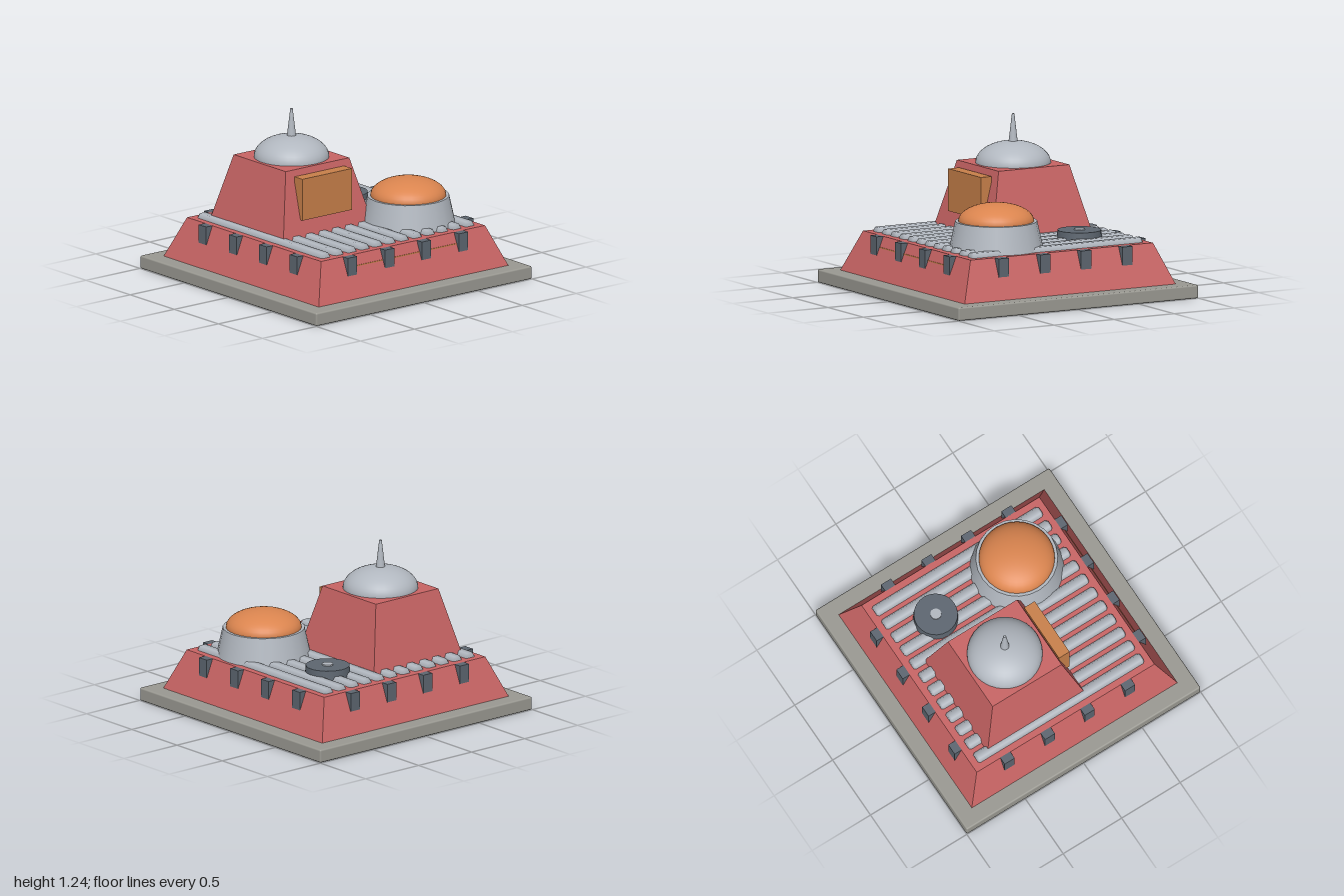
import * as THREE from 'three';
import { RoundedBoxGeometry } from 'three/addons/geometries/RoundedBoxGeometry.js';

const mat = (name, color) => {
  const m = new THREE.MeshStandardMaterial({ color });
  m.name = name;
  return m;
};

export function createModel() {
  const stone = mat('stone grey', 0x9a9992);
  const red = mat('brick red', 0xc86464);
  const metal = mat('pale metal', 0xb2b8c0);
  const slate = mat('dark slate', 0x5d6670);
  const orange = mat('orange', 0xdb854f);
  const ochre = mat('ochre panel', 0xc8804a);

  const model = new THREE.Group();
  model.name = 'domedBuilding';
  const add = (name, geometry, material, x, y, z, parent = model) => {
    const mesh = new THREE.Mesh(geometry, material);
    mesh.name = name;
    mesh.position.set(x, y, z);
    parent.add(mesh);
    return mesh;
  };

  // Box whose top corners are pulled inward
  const taperedBlock = (bottomHalf, topHalf, height) => {
    const g = new THREE.BoxGeometry(2 * bottomHalf, height, 2 * bottomHalf);
    const p = g.attributes.position;
    for (let i = 0; i < p.count; i++) {
      if (p.getY(i) > 0) {
        p.setX(i, Math.sign(p.getX(i)) * topHalf);
        p.setZ(i, Math.sign(p.getZ(i)) * topHalf);
      }
    }
    const flat = g.toNonIndexed();
    flat.computeVertexNormals();
    return flat;
  };

  // Squashed half sphere
  const dome = (radius, height) =>
    new THREE.SphereGeometry(radius, 32, 12, 0, Math.PI * 2, 0, Math.PI / 2).scale(1, height / radius, 1);

  // Ground slab and sloping main block
  add('groundSlab', new RoundedBoxGeometry(2, 0.097, 2, 2, 0.012), stone, 0, 0.0485, 0);
  add('mainBlock', taperedBlock(0.88, 0.76, 0.295), red, 0, 0.2425, 0);

  // Roof ribs: half-sunk six-sided bars with bevelled ends
  const ribs = new THREE.Group();
  ribs.name = 'roofRibs';
  model.add(ribs);
  const ribProfile = [[0, -0.71], [0.038, -0.71], [0.05, -0.695], [0.05, 0.695], [0.038, 0.71], [0, 0.71]]
    .map(([r, l]) => new THREE.Vector2(r, l));
  const ribGeometry = new THREE.LatheGeometry(ribProfile, 6, Math.PI / 2).rotateX(Math.PI / 2);
  for (let i = 0; i < 12; i++) {
    add('roofRib', ribGeometry, metal, -0.668 + i * 0.1213, 0.38, 0, ribs);
  }

  // Wall brackets: the same row of four on every side
  const bracketGeometry = new THREE.BoxGeometry(0.085, 0.135, 0.06);
  for (let side = 0; side < 4; side++) {
    const row = new THREE.Group();
    row.name = 'bracketRow';
    row.rotation.y = side * Math.PI / 2;
    for (const x of [-0.515, -0.17, 0.17, 0.515]) {
      add('wallBracket', bracketGeometry, slate, x, 0.3225, 0.787, row);
    }
    model.add(row);
  }

  // Thin trim line on the front wall
  add('frontTrim', new THREE.BoxGeometry(0.96, 0.008, 0.02), ochre, 0, 0.311, 0.784);

  // Square tower with dome, spire and front panel
  const tower = new THREE.Group();
  tower.name = 'squareTower';
  tower.position.set(-0.255, 0, -0.193);
  model.add(tower);
  add('towerBody', taperedBlock(0.418, 0.295, 0.495), red, 0, 0.6325, 0, tower);
  add('towerDome', dome(0.272, 0.158), metal, 0, 0.88, 0, tower);
  add('spire', new THREE.CylinderGeometry(0.009, 0.034, 0.21, 16), metal, 0, 1.13, 0, tower);
  add('frontPanel', new THREE.BoxGeometry(0.46, 0.308, 0.09), ochre, 0, 0.681, 0.36, tower);

  // Round turret with orange dome
  const turret = new THREE.Group();
  turret.name = 'roundTurret';
  turret.position.set(0.398, 0, 0.333);
  model.add(turret);
  add('turretWall', new THREE.CylinderGeometry(0.295, 0.34, 0.205, 24), metal, 0, 0.4875, 0, turret);
  add('turretDome', dome(0.273, 0.13), orange, 0, 0.59, 0, turret);

  // Roof vent with hub
  const vent = new THREE.Group();
  vent.name = 'roofVent';
  vent.position.set(0.39, 0, -0.365);
  model.add(vent);
  add('ventDisc', new THREE.CylinderGeometry(0.158, 0.164, 0.08, 24), slate, 0, 0.427, 0, vent);
  add('ventHub', new THREE.CylinderGeometry(0.04, 0.04, 0.06, 16), metal, 0, 0.447, 0, vent);

  return model;
}
